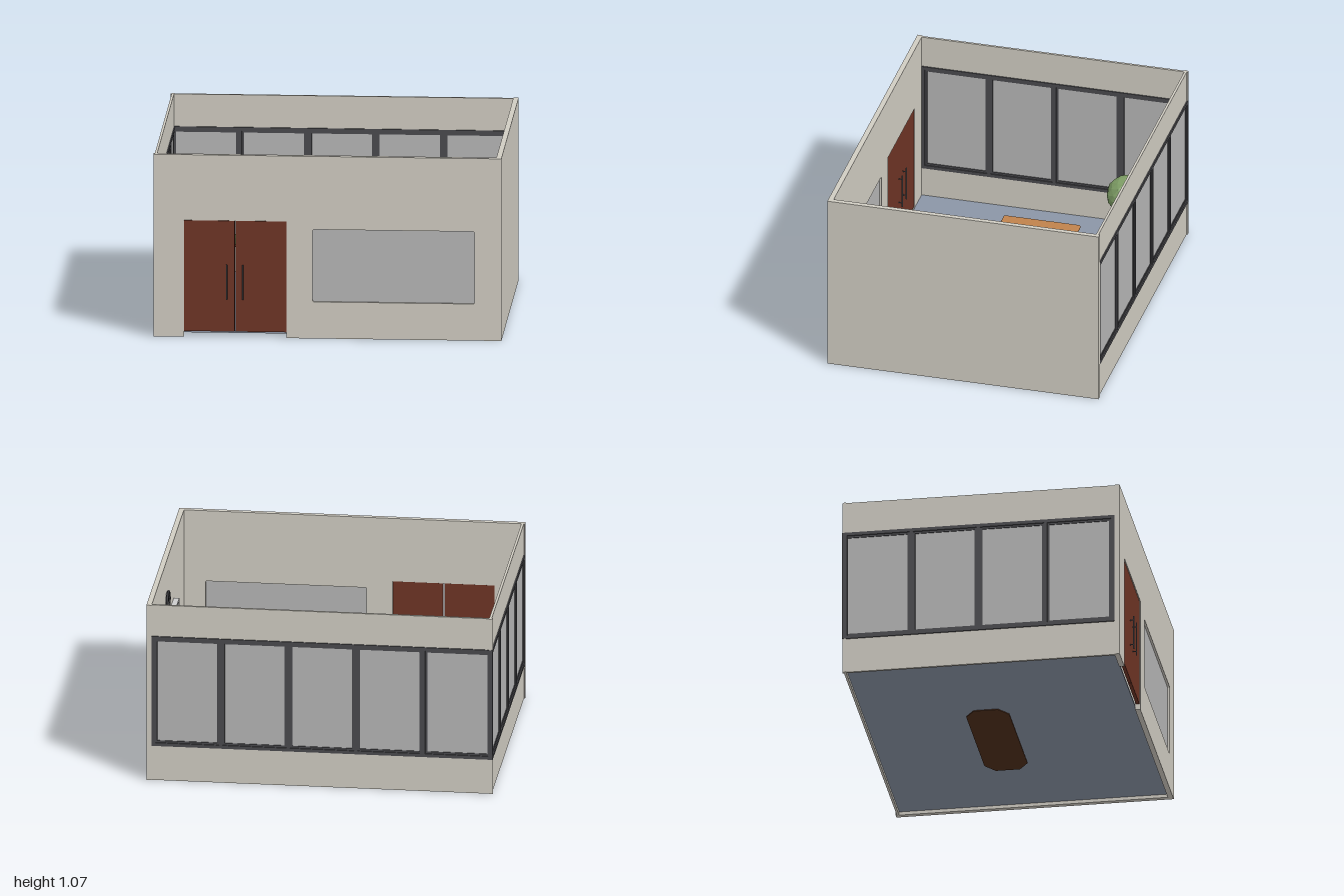
import * as THREE from 'three';
import { RoundedBoxGeometry } from 'three/addons/geometries/RoundedBoxGeometry.js';

const mat = (color, extra = {}) => new THREE.MeshStandardMaterial({ color, ...extra });
const M = {
  wall: mat(0xd0ccc2), floor: mat(0x8b95a6), frame: mat(0x4a4a4e), glass: mat(0xb6b6b6),
  door: mat(0x6e3425), wood: mat(0xc0824c), darkWood: mat(0x52301c), purple: mat(0x3b2a72),
  metal: mat(0x606064), black: mat(0x2b2b2e), white: mat(0xcccccc),
  leaf: mat(0x7f9f66, { flatShading: true }), bark: mat(0x7a4632),
};

function add(parent, name, geometry, material, x = 0, y = 0, z = 0) {
  const mesh = new THREE.Mesh(geometry, material);
  mesh.name = name;
  mesh.position.set(x, y, z);
  parent.add(mesh);
  return mesh;
}

// Box given by its minimum and maximum corners
function span(parent, name, material, x0, x1, y0, y1, z0, z1) {
  return add(parent, name, new THREE.BoxGeometry(x1 - x0, y1 - y0, z1 - z0), material,
    (x0 + x1) / 2, (y0 + y1) / 2, (z0 + z1) / 2);
}

// Straight round rod between two points
function rod(parent, name, material, a, b, r, sides = 12) {
  const p = new THREE.Vector3(...a), q = new THREE.Vector3(...b);
  const mesh = add(parent, name, new THREE.CylinderGeometry(r, r, p.distanceTo(q), sides), material);
  mesh.position.copy(p).add(q).multiplyScalar(0.5);
  mesh.quaternion.setFromUnitVectors(new THREE.Vector3(0, 1, 0), q.sub(p).normalize());
  return mesh;
}

function group(parent, name, x = 0, y = 0, z = 0) {
  const g = new THREE.Group();
  g.name = name;
  g.position.set(x, y, z);
  parent.add(g);
  return g;
}

// Wall along local x from 0 to length with a band of framed panes
function windowWall(parent, name, length, count) {
  const g = group(parent, name);
  const y0 = 0.21, y1 = 0.88, w = 0.02, t = 0.007, d = 0.014;
  span(g, 'lowerWall', M.wall, 0, length, 0, y0, -t, t);
  span(g, 'upperWall', M.wall, 0, length, y1, 1.07, -t, t);
  span(g, 'bottomRail', M.frame, 0, length, y0, y0 + w, -d, d);
  span(g, 'topRail', M.frame, 0, length, y1 - w, y1, -d, d);
  const pitch = (length - w) / count;
  for (let i = 0; i <= count; i++) {
    span(g, 'mullion', M.frame, i * pitch, i * pitch + w, y0, y1, -d, d);
    if (i === count) break;
    const a = i * pitch + w, b = (i + 1) * pitch, s = 0.012;
    span(g, 'pane', M.glass, a, b, y0 + w, y1 - w, -0.002, 0.002);
    span(g, 'sash', M.frame, a, a + s, y0 + w, y1 - w, -t, t);
    span(g, 'sash', M.frame, b - s, b, y0 + w, y1 - w, -t, t);
    span(g, 'sash', M.frame, a, b, y0 + w, y0 + w + s, -t, t);
    span(g, 'sash', M.frame, a, b, y1 - w - s, y1 - w, -t, t);
  }
  return g;
}

// Front wall with a door notch and a window hole
function frontWall(parent) {
  const s = new THREE.Shape();
  [[-1, 0], [-0.825, 0], [-0.825, 0.685], [-0.235, 0.685], [-0.235, 0], [0.97, 0], [0.97, 1.07], [-1, 1.07]]
    .forEach(([x, y], i) => (i ? s.lineTo(x, y) : s.moveTo(x, y)));
  const hole = new THREE.Path();
  const x0 = -0.085, x1 = 0.845, y0 = 0.215, y1 = 0.64, r = 0.01;
  hole.moveTo(x0 + r, y0).lineTo(x1 - r, y0).quadraticCurveTo(x1, y0, x1, y0 + r)
    .lineTo(x1, y1 - r).quadraticCurveTo(x1, y1, x1 - r, y1)
    .lineTo(x0 + r, y1).quadraticCurveTo(x0, y1, x0, y1 - r)
    .lineTo(x0, y0 + r).quadraticCurveTo(x0, y0, x0 + r, y0);
  s.holes.push(hole);
  add(parent, 'frontWall', new THREE.ExtrudeGeometry(s, { depth: 0.03, bevelEnabled: false }), M.wall, 0, 0, 0.765);
  span(parent, 'frontWindow', M.glass, x0, x1, y0, y1, 0.775, 0.782);
}

function doors(parent) {
  const g = group(parent, 'doubleDoor');
  span(g, 'leftLeaf', M.door, -0.527, -0.236, 0.033, 0.683, 0.77, 0.79);
  span(g, 'rightLeaf', M.door, -0.824, -0.533, 0.033, 0.683, 0.77, 0.79);
  for (const x of [-0.578, -0.485]) for (const z of [0.812, 0.748]) {
    rod(g, 'handle', M.metal, [x, 0.225, z], [x, 0.43, z], 0.004);
    for (const y of [0.25, 0.405]) rod(g, 'handleMount', M.metal, [x, y, 0.78], [x, y, z], 0.003);
  }
}

function table(parent) {
  const g = group(parent, 'table', 0.085, 0, -0.088);
  add(g, 'tableTop', new RoundedBoxGeometry(1.11, 0.025, 0.455, 2, 0.008), M.wood, 0, 0.258, 0);
  // Chamfered pedestal
  const s = new THREE.Shape();
  const a = 0.41, b = 0.125, c = 0.075, e = 0.055;
  [[-a, -b + e], [-a + c, -b], [a - c, -b], [a, -b + e], [a, b - e], [a - c, b], [-a + c, b], [-a, b - e]]
    .forEach(([x, y], i) => (i ? s.lineTo(x, y) : s.moveTo(x, y)));
  const base = new THREE.ExtrudeGeometry(s, { depth: 0.232, bevelEnabled: false }).rotateX(-Math.PI / 2);
  add(g, 'tablePedestal', base, M.darkWood, 0, 0.015, 0);
  // Objects on the table
  const top = 0.27;
  span(g, 'tissueBox', M.white, -0.105, 0, top, top + 0.03, -0.062, 0.063);
  span(g, 'tissueSlot', M.black, -0.058, -0.047, top + 0.029, top + 0.031, -0.025, 0.025);
  add(g, 'tablet', new RoundedBoxGeometry(0.082, 0.008, 0.112, 2, 0.003), M.black, 0.08, top + 0.004, 0);
  span(g, 'tabletScreen', mat(0x8f8f8f), 0.044, 0.116, top + 0.006, top + 0.009, -0.05, 0.05);
}

// Office chair facing -z, its backrest on the +z side
function chair(parent, x, z, turn) {
  const g = group(parent, 'chair', x, 0.03, z);
  g.rotation.y = turn;
  add(g, 'seat', new RoundedBoxGeometry(0.165, 0.035, 0.19, 3, 0.012), M.purple, 0, 0.145, -0.01);
  const back = add(g, 'backrest', new RoundedBoxGeometry(0.175, 0.22, 0.032, 3, 0.013), M.purple, 0, 0.255, 0.098);
  back.rotation.x = 0.05;
  add(g, 'headRoll', new RoundedBoxGeometry(0.195, 0.04, 0.052, 3, 0.018), M.purple, 0, 0.35, 0.105);
  rod(g, 'column', M.metal, [0, 0.03, 0], [0, 0.13, 0], 0.012);
  for (const s of [-1, 1]) {
    add(g, 'armrest', new RoundedBoxGeometry(0.033, 0.012, 0.08, 2, 0.004), M.metal, s * 0.12, 0.205, -0.005);
    rod(g, 'armPost', M.metal, [s * 0.115, 0.2, 0], [s * 0.1, 0.145, 0], 0.006);
    rod(g, 'armBracket', M.metal, [s * 0.1, 0.147, 0], [s * 0.05, 0.142, 0], 0.006);
  }
  for (let i = 0; i < 5; i++) {
    const t = (i * Math.PI * 2) / 5, cx = Math.sin(t) * 0.085, cz = Math.cos(t) * 0.085;
    rod(g, 'baseArm', M.metal, [0, 0.035, 0], [cx, 0.025, cz], 0.007, 8);
    add(g, 'caster', new THREE.SphereGeometry(0.012, 10, 8), M.black, cx, 0.012, cz);
  }
}

// Faceted foliage blob, slightly uneven
function foliage(parent, x, y, z, r) {
  const geo = new THREE.IcosahedronGeometry(r, 2);
  const p = geo.attributes.position, v = new THREE.Vector3();
  for (let i = 0; i < p.count; i++) {
    v.fromBufferAttribute(p, i);
    v.multiplyScalar(1 + 0.06 * Math.sin(v.x / r * 5 + 1) * Math.cos(v.z / r * 4 + v.y / r * 3));
    p.setXYZ(i, v.x, v.y, v.z);
  }
  geo.computeVertexNormals();
  add(parent, 'foliage', geo, M.leaf, x, y, z);
}

function plant(parent) {
  const g = group(parent, 'plant', -0.7, 0.03, -0.52);
  add(g, 'pot', new THREE.CylinderGeometry(0.065, 0.048, 0.1, 20), M.white, 0, 0.05, 0);
  add(g, 'soil', new THREE.CylinderGeometry(0.057, 0.057, 0.004, 20), M.darkWood, 0, 0.101, 0);
  const path = new THREE.CatmullRomCurve3([[0, 0.09, 0], [0.015, 0.17, 0], [-0.005, 0.24, 0], [-0.02, 0.31, 0.005]]
    .map(p => new THREE.Vector3(...p)));
  add(g, 'trunk', new THREE.TubeGeometry(path, 12, 0.011, 8), M.bark);
  rod(g, 'branch', M.bark, [0.012, 0.16, 0], [0.13, 0.24, -0.025], 0.007, 8);
  foliage(g, -0.02, 0.33, 0.005, 0.11);
  foliage(g, 0.132, 0.245, -0.027, 0.055);
}

// Board and clock on the inner face of the right-hand wall
function wallFittings(parent) {
  const b = group(parent, 'wallBoard');
  span(b, 'panel', mat(0xa8a8a8), 0.945, 0.97, 0.3, 0.71, -0.42, 0.26);
  span(b, 'trim', M.white, 0.938, 0.97, 0.7, 0.715, -0.435, 0.27);
  span(b, 'trim', M.white, 0.938, 0.97, 0.29, 0.305, -0.435, 0.27);
  for (const z of [-0.435, 0.255]) span(b, 'trim', M.white, 0.938, 0.97, 0.3, 0.71, z, z + 0.015);
  // Clock is modelled facing +z, then turned to face -x
  const c = group(parent, 'clock', 0.97, 0.825, -0.085);
  c.rotation.y = -Math.PI / 2;
  add(c, 'clockRim', new THREE.TorusGeometry(0.056, 0.008, 8, 32), M.black, 0, 0, 0.01);
  add(c, 'clockFace', new THREE.CylinderGeometry(0.054, 0.054, 0.01, 32).rotateX(Math.PI / 2), M.white, 0, 0, 0.005);
  for (let i = 0; i < 12; i++) {
    const t = (i * Math.PI) / 6;
    const tick = add(c, 'hourMark', new THREE.BoxGeometry(0.003, 0.008, 0.002), M.black,
      Math.sin(t) * 0.042, Math.cos(t) * 0.042, 0.011);
    tick.rotation.z = -t;
  }
  rod(c, 'hourHand', M.black, [0, 0, 0.012], [-0.018, 0.012, 0.012], 0.002, 6);
  rod(c, 'minuteHand', M.black, [0, 0, 0.013], [0.008, 0.035, 0.013], 0.0015, 6);
}

export function createModel() {
  const root = new THREE.Group();
  root.name = 'meetingRoom';
  span(root, 'floor', M.floor, -0.99, 0.97, 0.02, 0.03, -0.8, 0.765);
  span(root, 'rightWall', M.wall, 0.97, 1, 0, 1.07, -0.815, 0.795);
  windowWall(root, 'backWindowWall', 1.97, 5).position.set(-1, 0, -0.801);
  const left = windowWall(root, 'leftWindowWall', 1.58, 4);
  left.rotation.y = -Math.PI / 2;
  left.position.set(-0.986, 0, -0.815);
  frontWall(root);
  doors(root);
  table(root);
  chair(root, 0.105, 0.2, 0);
  chair(root, 0.105, -0.37, Math.PI);
  plant(root);
  wallFittings(root);
  return root;
}
